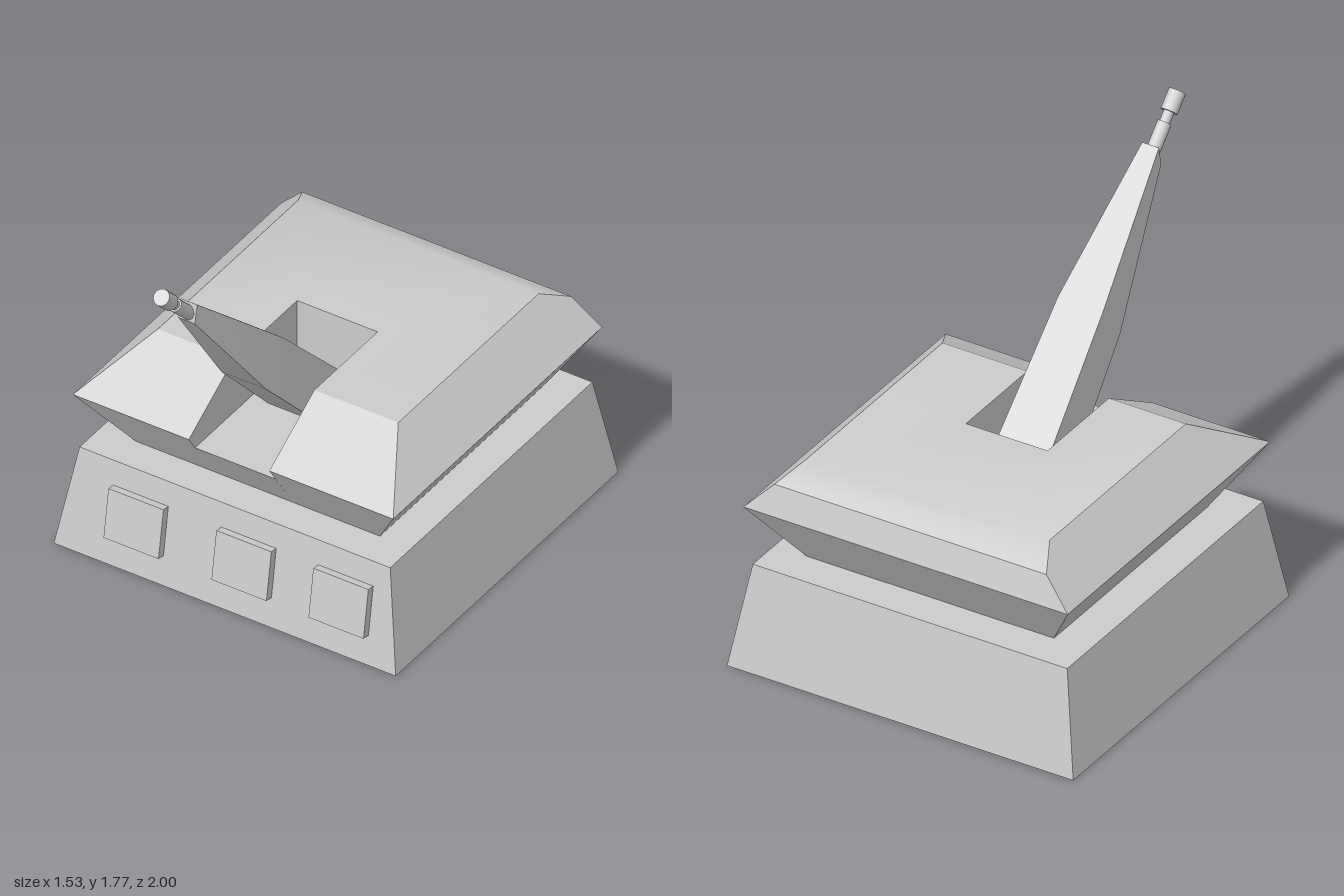
import * as THREE from 'three';
import { toCreasedNormals } from 'three/addons/utils/BufferGeometryUtils.js';

const material = new THREE.MeshStandardMaterial({ color: 0xcccccc });

function addMesh(parent, name, geometry) {
  const mesh = new THREE.Mesh(geometry, material);
  mesh.name = name;
  parent.add(mesh);
  return mesh;
}

// Convex polygons (counter-clockwise from outside) to a creased solid
function fromPolygons(polygons) {
  const positions = [];
  for (const p of polygons) {
    for (let i = 1; i < p.length - 1; i++) positions.push(...p[0], ...p[i], ...p[i + 1]);
  }
  const geometry = new THREE.BufferGeometry();
  geometry.setAttribute('position', new THREE.Float32BufferAttribute(positions, 3));
  return toCreasedNormals(geometry, 0.5);
}

// Joins four-sided sections, listed from bottom to top, and caps both ends
function loft(rings) {
  const polygons = [[...rings[0]].reverse(), rings[rings.length - 1]];
  for (let r = 0; r < rings.length - 1; r++) {
    for (let i = 0; i < 4; i++) {
      const j = (i + 1) % 4;
      polygons.push([rings[r][i], rings[r][j], rings[r + 1][j], rings[r + 1][i]]);
    }
  }
  return fromPolygons(polygons);
}

// Section from its front edge (y, z) and back edge (y, z)
function section(cx, halfWidth, [yf, zf], [yb, zb]) {
  const l = cx - halfWidth, r = cx + halfWidth;
  return [[l, yf, zf], [r, yf, zf], [r, yb, zb], [l, yb, zb]];
}

// Bevelled housing with a slot open to the front and top
function housingGeometry() {
  const corners = (s) => {
    const x = (half) => 0.0075 + s * half;
    const sx = -0.01 + s * 0.18;
    return {
      bottomFront: [x(0.547), 0.435, 0.315], bottomBack: [x(0.547), 0.435, -0.775],
      midFront: [x(0.717), 0.69, 0.485], midBack: [x(0.717), 0.69, -0.95],
      topFront: [x(0.538), 0.875, 0.175], topBack: [x(0.538), 0.875, -0.79],
      bevelBack: [x(0.601), 0.81, -0.915],
      slotBase: [sx, 0.435, 0.315], slotLip: [sx, 0.625, 0.442],
      slotMid: [sx, 0.69, 0.485], slotTop: [sx, 0.875, 0.175],
      slotBack: [sx, 0.875, -0.26], slotFloorBack: [sx, 0.625, -0.26],
    };
  };
  const a = corners(-1), b = corners(1);
  const polygons = [];

  // Faces belonging to each side
  for (const [c, flip] of [[a, true], [b, false]]) {
    const faces = [
      [c.bottomFront, c.bottomBack, c.midBack, c.midFront],
      [c.midFront, c.midBack, c.bevelBack, c.topBack, c.topFront],
      [c.slotBase, c.bottomFront, c.midFront, c.slotMid],
      [c.slotMid, c.midFront, c.topFront, c.slotTop],
      [c.slotTop, c.topFront, c.topBack, c.slotBack],
      [c.slotFloorBack, c.slotLip, c.slotMid, c.slotTop, c.slotBack],
    ];
    for (const f of faces) polygons.push(flip ? f.reverse() : f);
  }

  // Strips spanning both sides: slot first, then over the back and underneath
  const strips = [
    ['slotBase', 'slotLip', 'slotFloorBack', 'slotBack', 'topBack', 'bevelBack',
      'midBack', 'bottomBack', 'bottomFront'],
  ];
  for (const s of strips) {
    for (let i = 0; i < s.length - 1; i++) {
      polygons.push([a[s[i]], b[s[i]], b[s[i + 1]], a[s[i + 1]]]);
    }
  }
  return fromPolygons(polygons);
}

export function createModel() {
  const model = new THREE.Group();
  model.name = 'turret';

  // Tapered base
  addMesh(model, 'base', loft([
    section(0, 0.765, [0, 0.53], [0, -1]),
    section(0, 0.695, [0.435, 0.46], [0.435, -0.93]),
  ]));

  // Panels lying on the sloping front of the base
  for (const x of [-0.41, 0.073, 0.507]) {
    const panel = addMesh(model, 'frontPanel', new THREE.BoxGeometry(0.246, 0.212, 0.07));
    panel.position.set(x, 0.228, 0.493);
    panel.rotation.x = -Math.atan2(0.07, 0.435);
  }

  addMesh(model, 'housing', housingGeometry());

  // Tapering arm rising out of the slot
  const cx = 0.007;
  addMesh(model, 'arm', loft([
    section(cx, 0.12, [0.627, 0.06], [0.627, -0.235]),
    section(cx, 0.1, [1.0, 0.41], [1.165, 0.29]),
    section(cx, 0.037, [1.525, 0.803], [1.605, 0.787]),
  ]));

  // Stepped barrel at the arm's tip
  const barrel = new THREE.Group();
  barrel.name = 'barrel';
  barrel.position.set(cx, 1.563, 0.797);
  barrel.rotation.x = Math.PI / 4;
  model.add(barrel);
  for (const [name, radius, start, end] of [
    ['sleeve', 0.028, -0.03, 0.125],
    ['neck', 0.021, 0.12, 0.175],
    ['muzzle', 0.034, 0.17, 0.254],
  ]) {
    const geometry = new THREE.CylinderGeometry(radius, radius, end - start, 12);
    addMesh(barrel, name, geometry).position.y = (start + end) / 2;
  }
  return model;
}
